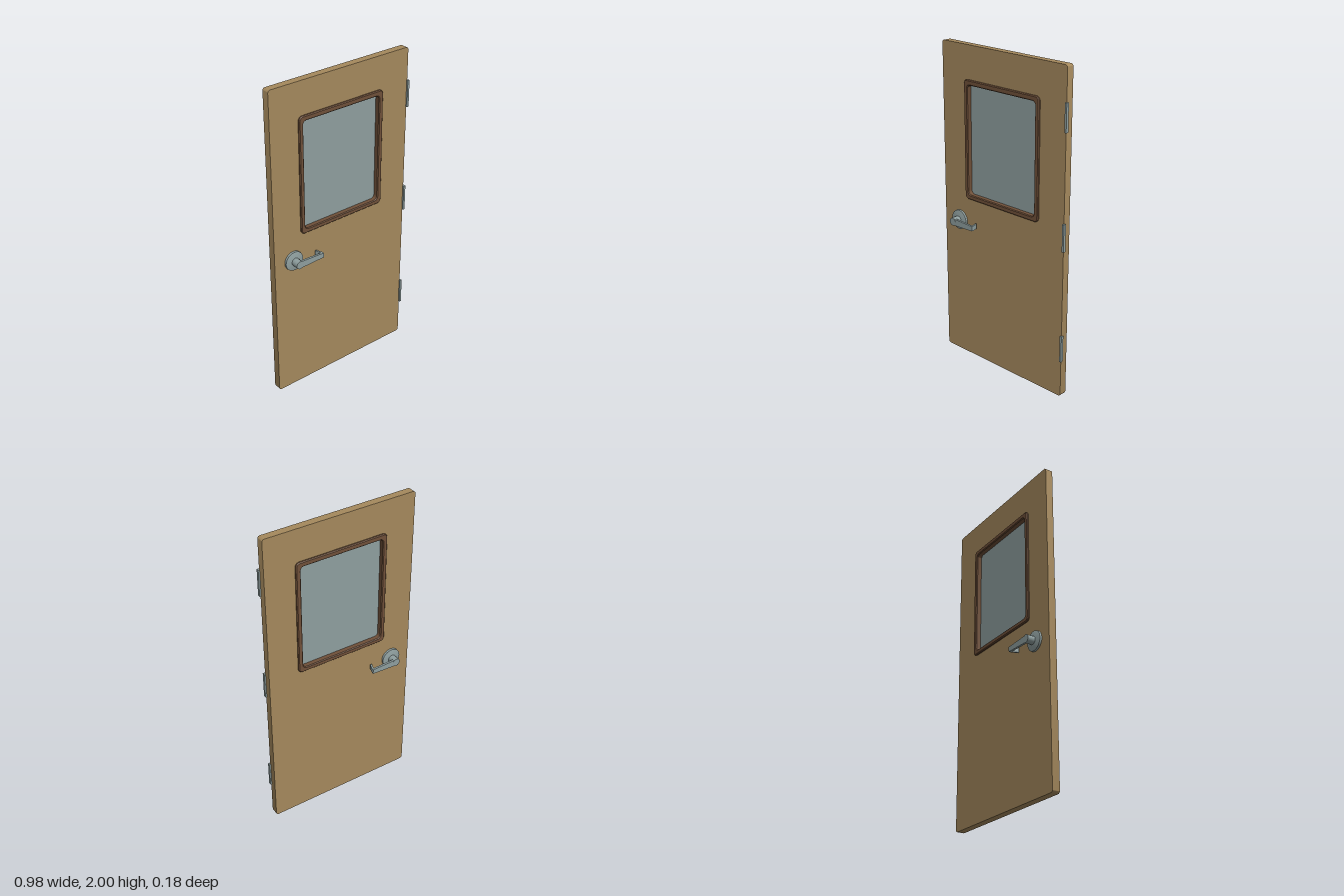
import * as THREE from 'three';
import { toCreasedNormals } from 'three/addons/utils/BufferGeometryUtils.js';

const material = (name, color) => {
  const m = new THREE.MeshStandardMaterial({ color });
  m.name = name;
  return m;
};

// Rounded rectangle between two corners
function roundedRect(x0, y0, x1, y1, r, Type = THREE.Shape) {
  const s = new Type();
  s.moveTo(x0 + r, y0);
  s.lineTo(x1 - r, y0);
  s.absarc(x1 - r, y0 + r, r, -Math.PI / 2, 0);
  s.lineTo(x1, y1 - r);
  s.absarc(x1 - r, y1 - r, r, 0, Math.PI / 2);
  s.lineTo(x0 + r, y1);
  s.absarc(x0 + r, y1 - r, r, Math.PI / 2, Math.PI);
  s.lineTo(x0, y0 + r);
  s.absarc(x0 + r, y0 + r, r, Math.PI, Math.PI * 1.5);
  return s;
}

// Slab centred on z = 0, with an optional bevel that stays inside the outline
function slab(shape, depth, bevel = 0) {
  const g = new THREE.ExtrudeGeometry(shape, {
    depth: depth - 2 * bevel, curveSegments: 6,
    bevelEnabled: bevel > 0, bevelSize: bevel, bevelThickness: bevel,
    bevelOffset: -bevel, bevelSegments: 1,
  });
  g.translate(0, 0, -depth / 2 + bevel);
  return toCreasedNormals(g, 0.5);
}

export function createModel() {
  const wood = material('tan wood', 0xa5895d);
  const trim = material('brown trim', 0x6f5039);
  const metal = material('grey metal', 0x8f9f9f);

  const model = new THREE.Group();
  model.name = 'door';
  const add = (parent, name, geometry, mat) => {
    const mesh = new THREE.Mesh(geometry, mat);
    mesh.name = name;
    parent.add(mesh);
    return mesh;
  };

  // Door leaf with window opening
  const leaf = roundedRect(-0.491, 0, 0.482, 2, 0.016);
  leaf.holes.push(roundedRect(-0.285, 1.08, 0.274, 1.777, 0.025, THREE.Path));
  add(model, 'doorLeaf', slab(leaf, 0.047), wood);

  // Window trim runs through the leaf and stands proud on both sides
  const frame = roundedRect(-0.303, 1.06, 0.292, 1.797, 0.026);
  frame.holes.push(roundedRect(-0.275, 1.09, 0.262, 1.765, 0.022, THREE.Path));
  add(model, 'windowFrame', slab(frame, 0.071, 0.005), trim);

  add(model, 'windowPane', slab(roundedRect(-0.28, 1.085, 0.267, 1.77, 0.02), 0.008), metal);

  // Hinges on the left edge
  for (const y of [0.32, 1.02, 1.715]) {
    const hinge = add(model, 'hinge', new THREE.BoxGeometry(0.013, 0.167, 0.017), metal);
    hinge.position.set(0.4845, y, 0.0255);
  }

  // Lever handle: one on each side, turned about x for the back
  const rosette = new THREE.LatheGeometry([
    [0, 0.02], [0.061, 0.02], [0.061, 0.037], [0.03, 0.044], [0, 0.044],
  ].map(([r, h]) => new THREE.Vector2(r, h)), 24);
  rosette.rotateX(Math.PI / 2);

  const stem = new THREE.CylinderGeometry(0.025, 0.025, 0.052, 14);
  stem.rotateX(Math.PI / 2).translate(0, 0, 0.066);

  // Lever outline seen from above, as x and z from the stem centre
  const outline = new THREE.Shape([
    [0, 0.0915], [0, 0.078], [0.159, 0.078], [0.146, 0.039], [0.158, 0.039], [0.171, 0.079], [0.171, 0.0915],
  ].map(([x, z]) => new THREE.Vector2(x, z)));
  const lever = new THREE.ExtrudeGeometry(outline, { depth: 0.04, bevelEnabled: false });
  lever.rotateX(Math.PI / 2).translate(0, 0.02, 0);
  const p = lever.attributes.position;
  for (let i = 0; i < p.count; i++) {
    p.setY(i, p.getY(i) * (1.1 - 0.35 * Math.min(1, p.getX(i) / 0.146))); // slimmer toward the tip
  }
  lever.computeVertexNormals();

  const creasedRosette = toCreasedNormals(rosette, 0.4);
  for (const side of ['front', 'back']) {
    const handle = new THREE.Group();
    handle.name = side + 'Handle';
    add(handle, 'rosette', creasedRosette, metal);
    add(handle, 'stem', stem, metal);
    add(handle, 'lever', lever, metal);
    handle.position.set(-0.36, 0.905, 0);
    if (side === 'back') handle.rotation.x = Math.PI;
    model.add(handle);
  }

  return model;
}
